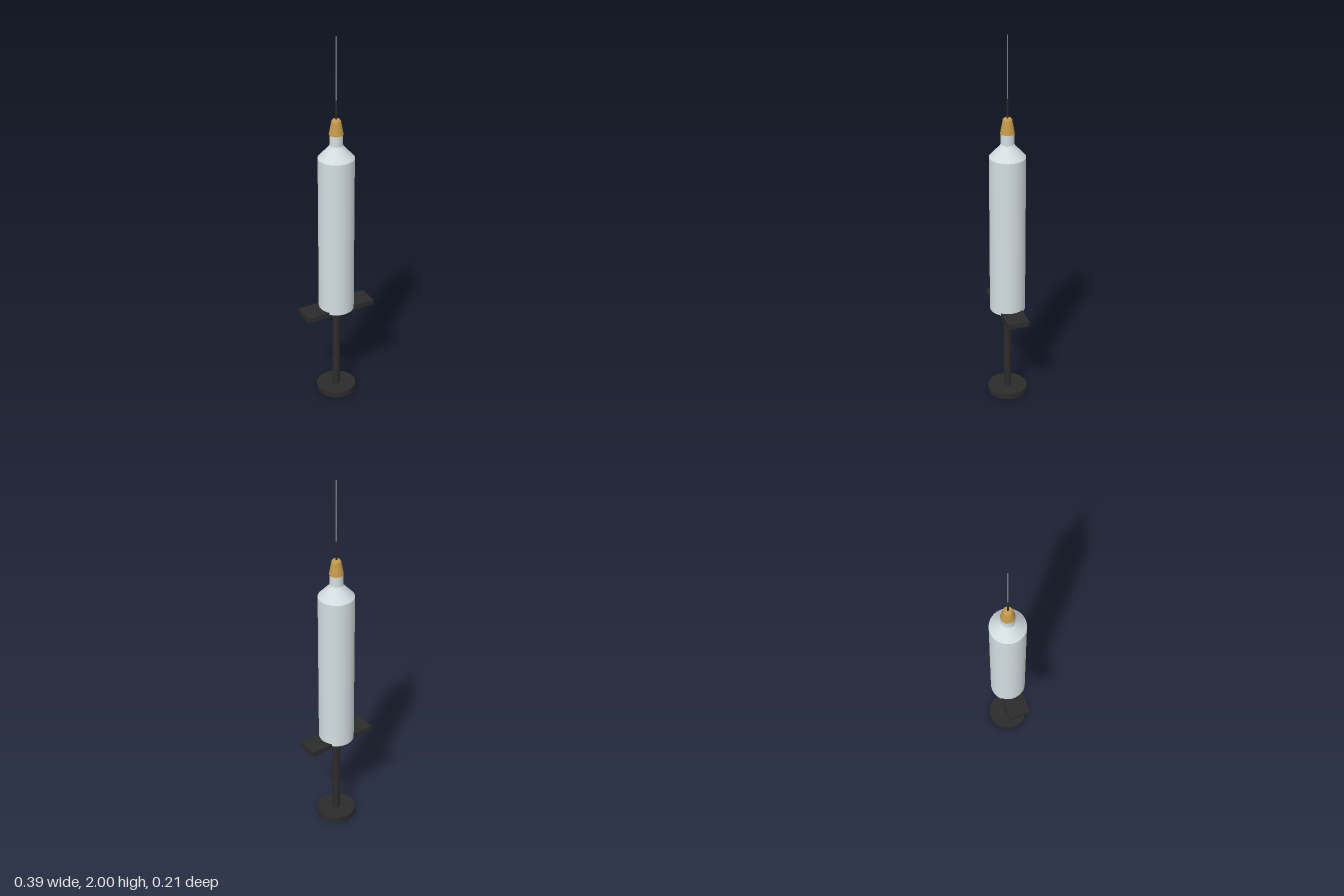
import * as THREE from 'three';

export function createModel() {
  const group = new THREE.Group();
  const material = (name, color, extra = {}) => {
    const m = new THREE.MeshStandardMaterial({ color, ...extra });
    m.name = name;
    return m;
  };
  const barrelMat = material('pale barrel plastic', 0xd3dde0);
  const blackMat = material('black plastic', 0x2b2b2b);
  const brassMat = material('brass', 0xc59a4a);
  const steelMat = material('needle steel', 0x777b88);

  const add = (name, geometry, mat, y = 0) => {
    const mesh = new THREE.Mesh(geometry, mat);
    mesh.name = name;
    mesh.position.y = y;
    group.add(mesh);
    return mesh;
  };
  // Upright cylinder between two heights
  const column = (name, rBottom, rTop, y0, y1, sides, mat) =>
    add(name, new THREE.CylinderGeometry(rTop, rBottom, y1 - y0, sides), mat, (y0 + y1) / 2);
  // Open lathe section, so that creases between sections stay sharp
  const lathe = (name, points, sides, mat) =>
    add(name, new THREE.LatheGeometry(points.map(([r, y]) => new THREE.Vector2(r, y)), sides), mat);

  // Plunger: thumb disc, rod and the seal inside the barrel
  column('thumbDisc', 0.105, 0.105, 0, 0.03, 16, blackMat).rotation.y = Math.PI / 16;
  column('plungerRod', 0.02, 0.02, 0.03, 0.98, 16, blackMat);
  column('plungerSeal', 0.09, 0.09, 0.97, 1.03, 32, blackMat);

  // Finger flange across the base of the barrel
  add('fingerFlange', new THREE.BoxGeometry(0.386, 0.028, 0.115), blackMat, 0.511);

  // Barrel, open at the bottom, with shoulder and neck
  lathe('barrel', [[0.092, 0.513], [0.092, 1.375]], 48, barrelMat);
  lathe('shoulder', [[0.092, 1.375], [0.04, 1.432], [0.034, 1.445]], 48, barrelMat);
  lathe('neck', [[0.034, 1.445], [0.034, 1.505]], 32, barrelMat);

  // Needle hub and needle
  column('needleHub', 0.037, 0.024, 1.5, 1.572, 12, brassMat);
  column('hubTip', 0.024, 0.018, 1.572, 1.58, 12, brassMat);
  column('needleSleeve', 0.005, 0.005, 1.575, 1.68, 8, blackMat);
  column('needle', 0.0035, 0.003, 1.67, 2, 8, steelMat);

  return group;
}
